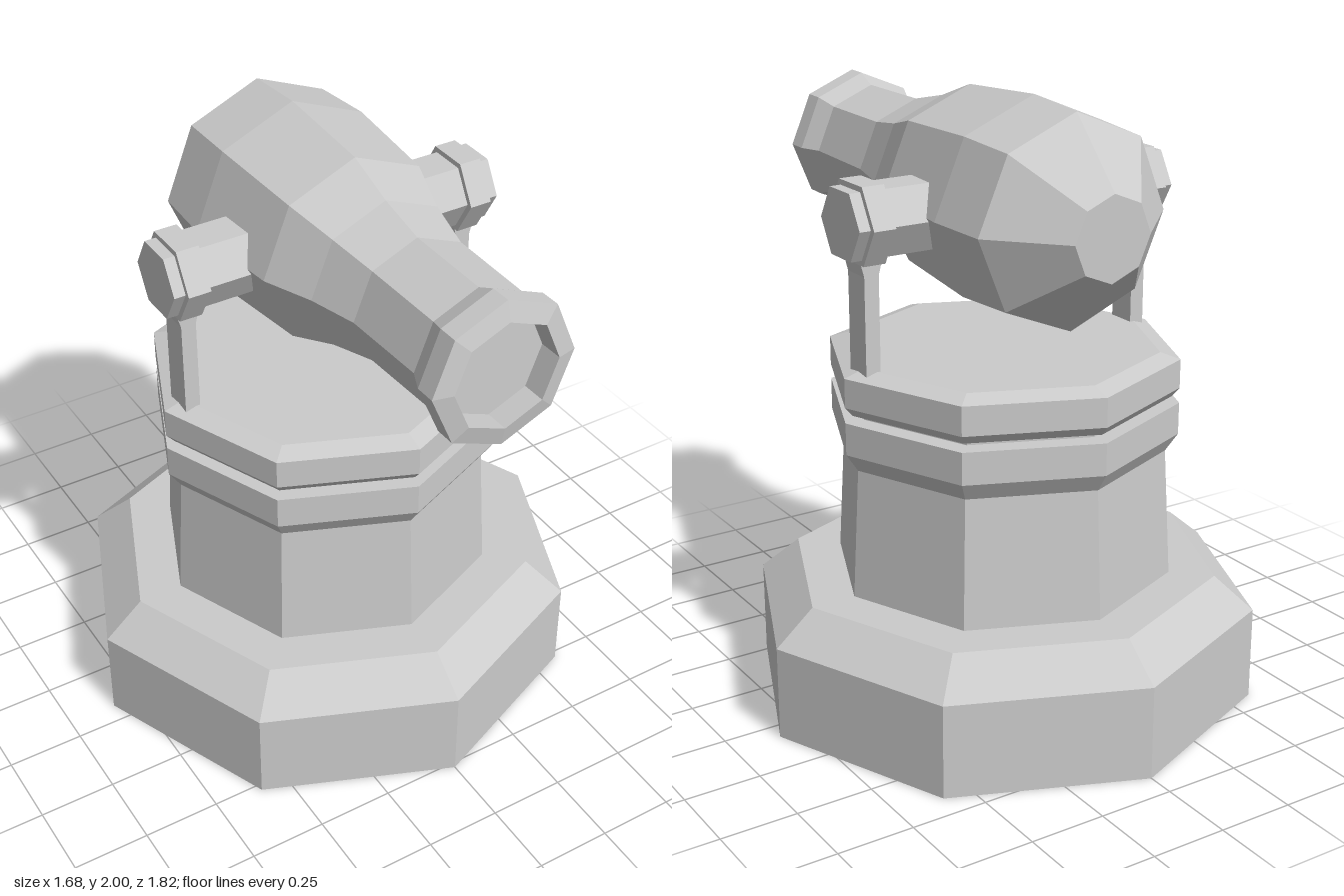
import * as THREE from 'three';

const material = new THREE.MeshStandardMaterial({ color: 0xcccccc, flatShading: true });
const CENTRE_Z = -0.07;
const AXLE_Y = 1.64;

function part(name, geometry, parent) {
  const mesh = new THREE.Mesh(geometry, material);
  mesh.name = name;
  parent.add(mesh);
  return mesh;
}

// Eight-sided turned form from [radius, height] pairs, listed bottom to top
function octagonal(profile) {
  return new THREE.LatheGeometry(profile.map(([r, y]) => new THREE.Vector2(r, y)), 8);
}

// Six-sided bar along x, with corners pointing to front and back
function hexBar(radius, length) {
  return new THREE.CylinderGeometry(radius, radius, length, 6).rotateZ(Math.PI / 2);
}

export function createModel() {
  const model = new THREE.Group();
  model.name = 'cannonOnPedestal';

  // Pedestal
  const pedestal = new THREE.Group();
  pedestal.name = 'pedestal';
  pedestal.position.z = CENTRE_Z;
  model.add(pedestal);
  part('plinth', octagonal([[0, 0], [0.84, 0], [0.84, 0.31], [0.71, 0.42], [0, 0.42]]), pedestal);
  part('column', octagonal([
    [0.56, 0.42], [0.535, 0.845], [0.575, 0.905], [0.575, 1.01], [0.51, 1.01], [0.51, 1.03],
  ]), pedestal);
  part('turntable', octagonal([
    [0, 1.03], [0.55, 1.03], [0.575, 1.06], [0.575, 1.155], [0.51, 1.175], [0, 1.175],
  ]), pedestal);

  // Barrel, tilted slightly upward, with a shallow bore
  const barrel = part('barrel', octagonal([
    [0, -0.655], [0.135, -0.655], [0.336, -0.456], [0.349, -0.236], [0.318, 0.125],
    [0.254, 0.292], [0.213, 0.458], [0.207, 0.76], [0.238, 0.827], [0.238, 0.895],
    [0.175, 0.91], [0.175, 0.83], [0, 0.83],
  ]).rotateX(Math.PI / 2), model);
  barrel.position.y = 1.655;
  barrel.rotation.x = -0.022;

  // Axle through the barrel
  part('axle', hexBar(0.12, 1.15), model).position.set(0, AXLE_Y, CENTRE_Z);

  // Collar and post on each side; the post flares to meet its collar
  const postShape = new THREE.Shape([
    [-0.025, 1.16], [0.025, 1.16], [0.025, 1.48], [0.037, 1.525],
    [0.037, 1.6], [-0.037, 1.6], [-0.037, 1.525], [-0.025, 1.48],
  ].map(([x, y]) => new THREE.Vector2(x, y)));
  for (const [side, label] of [[1, 'left'], [-1, 'right']]) {
    const support = new THREE.Group();
    support.name = `${label}Support`;
    support.position.set(side * 0.5, 0, CENTRE_Z);
    model.add(support);
    part('collar', hexBar(0.14, 0.075), support).position.y = AXLE_Y;
    const post = new THREE.ExtrudeGeometry(postShape, { depth: 0.1, bevelEnabled: false });
    part('post', post.translate(0, 0, -0.05), support);
  }
  return model;
}
